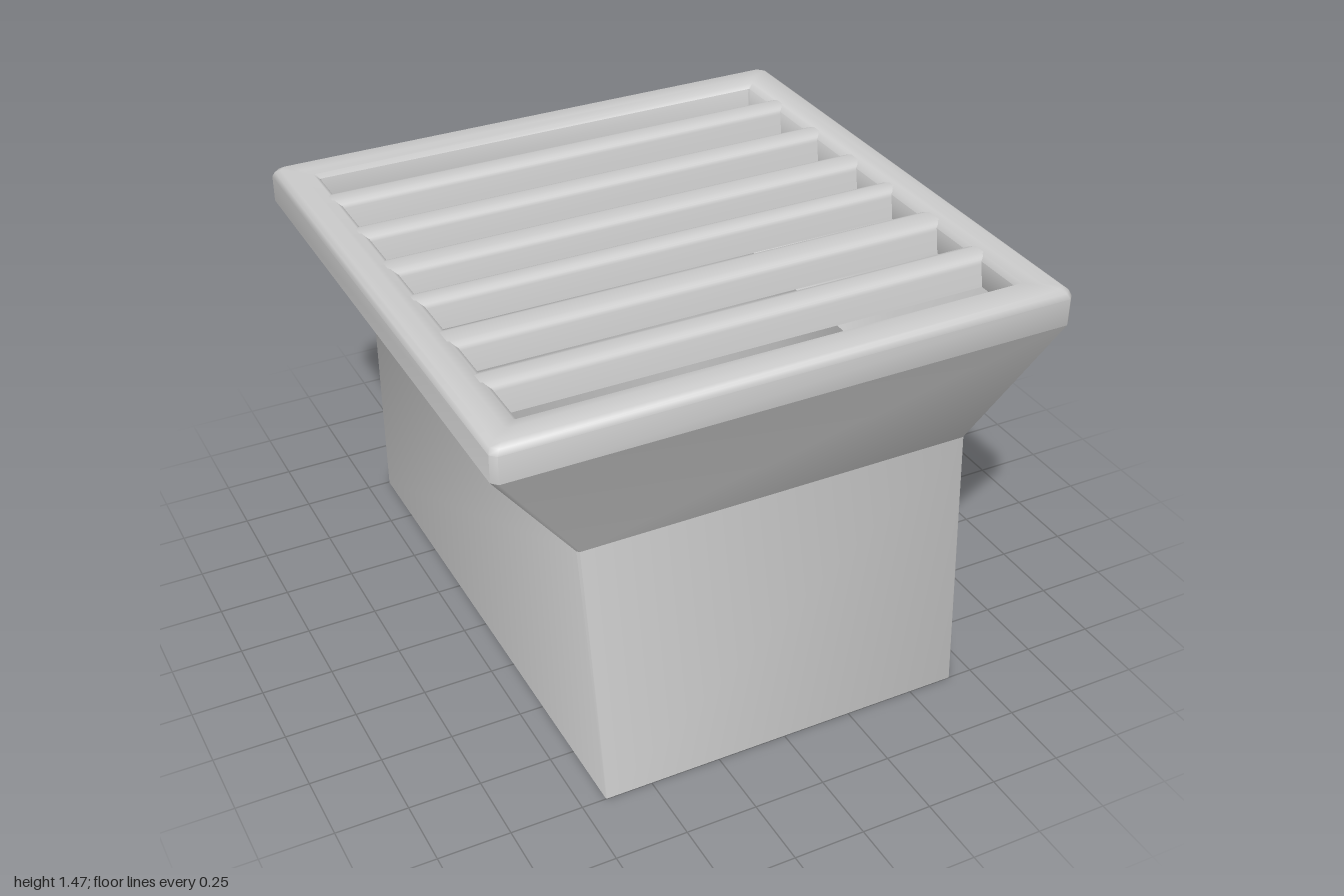
import * as THREE from 'three';
import { toCreasedNormals } from 'three/addons/utils/BufferGeometryUtils.js';

const material = new THREE.MeshStandardMaterial({ color: 0xcccccc, side: THREE.DoubleSide });

// Open skin through rectangular rings with cut corners: [halfX, y, halfZ, cornerCut]
function loft(rings, crease) {
  const pos = [], index = [];
  for (const [x, y, z, c] of rings) {
    const loop = [[x - c, z], [x, z - c], [x, c - z], [x - c, -z], [c - x, -z], [-x, c - z], [-x, z - c], [c - x, z]];
    for (const [px, pz] of loop) pos.push(px, y, pz);
  }
  for (let r = 0; r < rings.length - 1; r++) {
    for (let i = 0; i < 8; i++) {
      const a = r * 8 + i, b = r * 8 + (i + 1) % 8;
      index.push(a, b, b + 8, a, b + 8, a + 8);
    }
  }
  const g = new THREE.BufferGeometry();
  g.setAttribute('position', new THREE.Float32BufferAttribute(pos, 3));
  g.setIndex(index);
  return toCreasedNormals(g, crease);
}

// Slat with rounded top edges and slightly spread sides, running along x
function slatGeometry(z0, z1, halfLength) {
  const top = 1.461, low = 1.36, r = 0.025;
  const s = new THREE.Shape();
  // shape x becomes -z after the turn below
  s.moveTo(-z1, low);
  s.lineTo(-z0, low);
  s.lineTo(-z0 - 0.004, top - r);
  s.quadraticCurveTo(-z0 - 0.006, top - 0.006, -z0 - 0.035, top);
  s.lineTo(-z1 + 0.045, top);
  s.quadraticCurveTo(-z1 + 0.02, top - 0.006, -z1 + 0.016, top - r);
  s.closePath();
  const g = new THREE.ExtrudeGeometry(s, { depth: 2 * halfLength, bevelEnabled: false, curveSegments: 5 });
  g.translate(0, 0, -halfLength);
  g.rotateY(Math.PI / 2);
  return toCreasedNormals(g, 0.7);
}

export function createModel() {
  const group = new THREE.Group();
  const add = (name, geometry) => {
    const mesh = new THREE.Mesh(geometry, material);
    mesh.name = name;
    group.add(mesh);
  };

  // Lower duct, open at the bottom
  add('duct', loft([[0.665, 0, 1, 0.004], [0.7, 0.94, 0.9, 0.008]], 0.9));

  // Flared hood widening up to the rim
  add('hood', loft([[0.7, 0.94, 0.9, 0.008], [1, 1.34, 1, 0.02]], 0.9));

  // Rounded rim that turns over the top and down into the opening
  add('rim', loft([
    [1, 1.34, 1, 0.02],
    [1, 1.435, 1, 0.02],
    [0.992, 1.454, 0.992, 0.022],
    [0.975, 1.465, 0.975, 0.02],
    [0.92, 1.465, 0.92, 0.01],
    [0.88, 1.46, 0.88, 0.005],
    [0.862, 1.445, 0.865, 0.004],
    [0.86, 1.36, 0.86, 0.004],
  ], 0.9));

  // Six slats across the opening: [back z, front z]
  const slats = [[-0.73, -0.61], [-0.46, -0.34], [-0.2, -0.07], [0.05, 0.16], [0.3, 0.44], [0.575, 0.7]];
  for (const [z0, z1] of slats) add('slat', slatGeometry(z0, z1, 0.89));

  return group;
}
